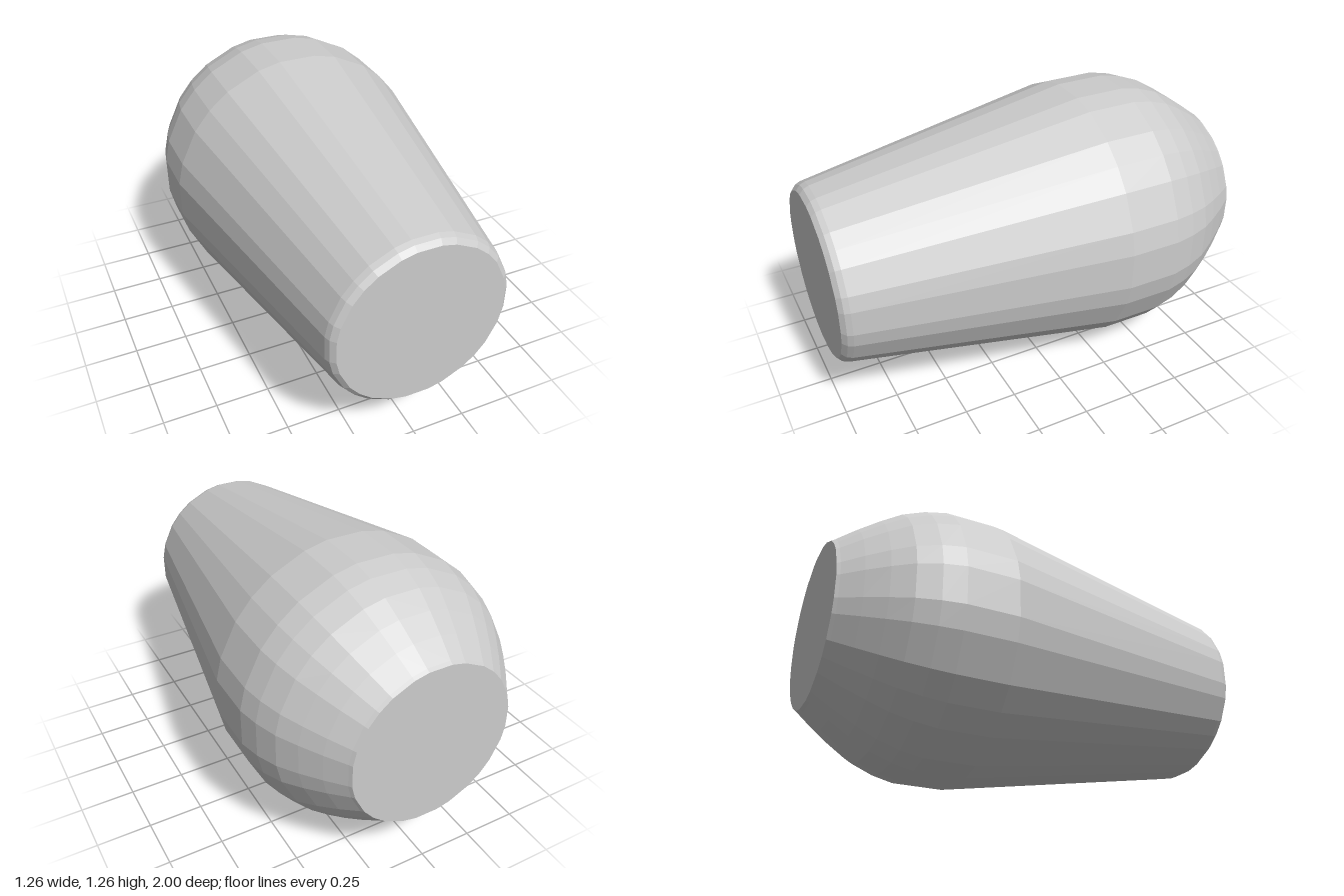
import * as THREE from 'three';

// Uneven facet angles of one quarter turn, in degrees
const QUARTER = [8, 18, 34, 45, 56, 72, 82];
const CENTRE_Y = 0.63;

// Radius and z along the axis, from the flat back end to the flat front end
const PROFILE = [
  [0, -1], [0.385, -1], [0.395, -0.985], [0.46, -0.9], [0.522, -0.81],
  [0.577, -0.72], [0.615, -0.62], [0.637, -0.52], [0.637, -0.28],
  [0.42, 0.955], [0.41, 0.98], [0.388, 1], [0, 1],
];

export function createModel() {
  const group = new THREE.Group();
  group.name = 'taperedKnob';

  const sides = QUARTER.length * 4;
  const geometry = new THREE.LatheGeometry(
    PROFILE.map(([r, z]) => new THREE.Vector2(r, z)), sides);

  // Turn each column of vertices to its uneven facet angle
  const pos = geometry.attributes.position;
  for (let i = 0; i < pos.count; i++) {
    const column = Math.floor(i / PROFILE.length) % sides;
    const turn = Math.floor(column / QUARTER.length) * 90;
    const angle = THREE.MathUtils.degToRad(turn + QUARTER[column % QUARTER.length]);
    const r = PROFILE[i % PROFILE.length][0];
    pos.setX(i, r * Math.sin(angle));
    pos.setZ(i, r * Math.cos(angle));
  }

  // Lay the axis along z, narrow end to the front
  geometry.rotateX(Math.PI / 2);
  geometry.translate(0, CENTRE_Y, 0);
  geometry.computeVertexNormals();

  const knob = new THREE.Mesh(geometry,
    new THREE.MeshStandardMaterial({ color: 0xcccccc, flatShading: true }));
  knob.name = 'knobBody';
  group.add(knob);
  return group;
}
